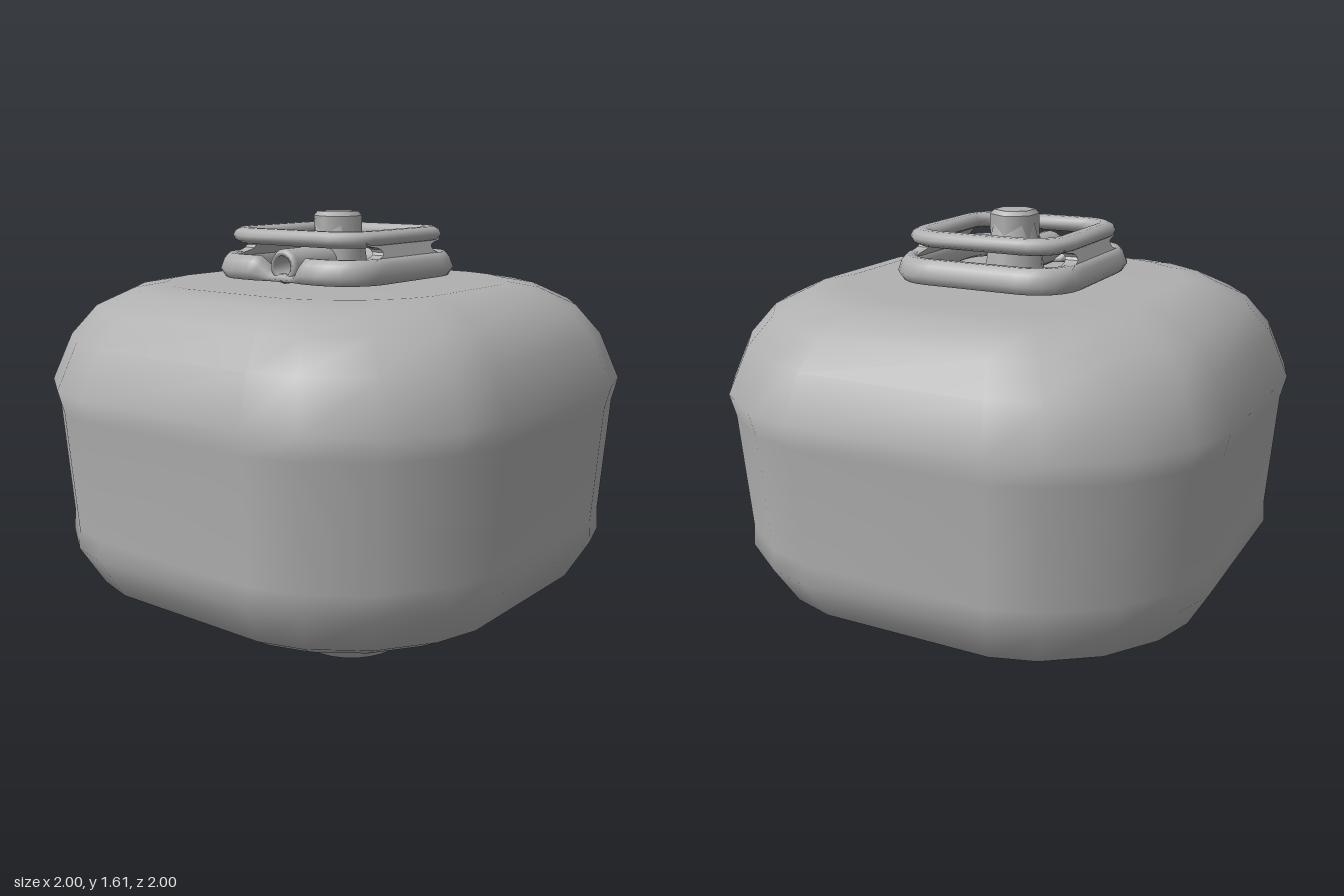
import * as THREE from 'three';

// Lofts a profile of [halfWidth, y] points around a rounded square.
// corner(w) lists corner points from (w, c) to (c, w); flats get n segments.
function loft(profile, corner, { closed = false, n = 1, bend } = {}) {
  const pos = [], idx = [];
  let count = 0;
  for (const [w, y] of profile) {
    const pts = corner(w);
    const c = pts[0][1];
    const quarter = [];
    for (let k = 0; k < n; k++) quarter.push([w, -c + (2 * c * k) / n]);
    quarter.push(...pts.slice(0, -1));
    count = quarter.length * 4;
    for (let q = 0; q < 4; q++) {
      for (let [a, b] of quarter) {
        for (let r = 0; r < q; r++) [a, b] = [-b, a];
        const v = new THREE.Vector3(a, y, -b);
        if (bend) bend(v, w);
        pos.push(v.x, v.y, v.z);
      }
    }
  }
  const rows = profile.length;
  for (let j = 0; j < (closed ? rows : rows - 1); j++) {
    const j2 = (j + 1) % rows;
    for (let i = 0; i < count; i++) {
      const i2 = (i + 1) % count;
      const a = j * count + i, b = j * count + i2, c = j2 * count + i2, d = j2 * count + i;
      idx.push(a, b, c, a, c, d);
    }
  }
  const g = new THREE.BufferGeometry();
  g.setAttribute('position', new THREE.Float32BufferAttribute(pos, 3));
  g.setIndex(idx);
  g.computeVertexNormals();
  return g;
}

// Circular corners around a fixed centre c
const roundCorner = (c, m = 6) => (w) =>
  Array.from({ length: m + 1 }, (_, k) => {
    const t = (k / m) * Math.PI / 2;
    return [c + (w - c) * Math.cos(t), c + (w - c) * Math.sin(t)];
  });

// Oval tube cross-section, counter-clockwise
const oval = (w, y, rw, ry, n = 10) =>
  Array.from({ length: n }, (_, k) => {
    const t = (k / n) * Math.PI * 2;
    return [w + rw * Math.cos(t), y + ry * Math.sin(t)];
  });

export function createModel() {
  const group = new THREE.Group();
  const metal = new THREE.MeshStandardMaterial({ color: 0xb0b0b0 });
  metal.name = 'grey metal';
  const add = (name, geometry, parent = group) => {
    const mesh = new THREE.Mesh(geometry, metal);
    mesh.name = name;
    parent.add(mesh);
    return mesh;
  };

  // Tank body: bulging rounded square with a slightly tapered waist
  const bodyCorner = (w) =>
    [[1, 0.385], [0.942, 0.575], [0.79, 0.79], [0.575, 0.942], [0.385, 1]].map(([a, b]) => [a * w, b * w]);
  add('tankBody', loft([
    [0, 0.08], [0.3, 0.083], [0.54, 0.1], [0.76, 0.145], [0.87, 0.21], [0.955, 0.36], [0.95, 0.44],
    [0.98, 0.89], [1, 0.975], [0.93, 1.15], [0.84, 1.26], [0.71, 1.325], [0.6, 1.345], [0, 1.345],
  ], bodyCorner));

  // Foot ring: low rail on the sides, rising to flared supports at the corners
  add('footRing', loft(
    [[0.39, 0.03], [0.41, 0.006], [0.45, 0], [0.48, 0.012], [0.51, 0.055], [0.545, 0.112], [0.49, 0.115], [0.42, 0.055]],
    roundCorner(0.29), {
      closed: true, n: 16,
      bend: (v, w) => {
        const s = THREE.MathUtils.smoothstep(Math.min(Math.abs(v.x), Math.abs(v.z)), 0.21, 0.28);
        const low = Math.min(v.y, 0.052);
        v.y = THREE.MathUtils.lerp(low, v.y, s);
        const k = THREE.MathUtils.lerp(Math.min(w, 0.49) / w, 1, s);
        if (Math.abs(v.x) > Math.abs(v.z)) v.x *= k;
        else v.z *= k;
      },
    }));

  // Collar: lower band with a notch at the outlet, and upper handle
  const collar = new THREE.Group();
  collar.name = 'collar';
  group.add(collar);
  add('lowerBand', loft(
    [[0.29, 1.375], [0.32, 1.362], [0.36, 1.364], [0.38, 1.395], [0.365, 1.435], [0.345, 1.457], [0.315, 1.455], [0.29, 1.42]],
    roundCorner(0.19), {
      closed: true, n: 16,
      bend: (v) => {
        if (v.x > -0.25) return;
        const s = 1 - THREE.MathUtils.smoothstep(Math.abs(v.z), 0.05, 0.12);
        v.y = 1.362 + (v.y - 1.362) * (1 - 0.7 * s);
        v.x += 0.025 * s;
      },
    }), collar);
  add('handleRing', loft(oval(0.292, 1.524, 0.045, 0.031), roundCorner(0.17), { closed: true }), collar);

  // Front and back webs joining band and handle, leaning inward
  const web = new THREE.Shape();
  web.moveTo(-0.24, 1.435);
  web.lineTo(0.24, 1.435);
  web.bezierCurveTo(0.24, 1.462, 0.16, 1.45, 0.16, 1.477);
  web.bezierCurveTo(0.16, 1.505, 0.24, 1.49, 0.24, 1.515);
  web.lineTo(-0.24, 1.515);
  web.bezierCurveTo(-0.24, 1.49, -0.16, 1.505, -0.16, 1.477);
  web.bezierCurveTo(-0.16, 1.45, -0.24, 1.462, -0.24, 1.435);
  const webGeo = new THREE.ExtrudeGeometry(web, { depth: 0.05, bevelEnabled: false, curveSegments: 6 });
  const p = webGeo.attributes.position;
  for (let i = 0; i < p.count; i++) p.setZ(i, p.getZ(i) + 0.305 - (p.getY(i) - 1.435) * 0.5);
  webGeo.computeVertexNormals();
  for (const [name, turn] of [['frontWeb', 0], ['backWeb', Math.PI]]) add(name, webGeo, collar).rotation.y = turn;

  // Valve: stem, hexagonal knob and side outlet
  const valve = new THREE.Group();
  valve.name = 'valve';
  group.add(valve);
  const stem = add('valveStem', new THREE.CylinderGeometry(0.105, 0.125, 0.16, 8), valve);
  stem.position.y = 1.42;
  const neck = add('valveNeck', new THREE.CylinderGeometry(0.085, 0.1, 0.06, 8), valve);
  neck.position.y = 1.53;
  const knob = add('valveKnob', new THREE.LatheGeometry(
    [[0, 1.5], [0.095, 1.5], [0.095, 1.5], [0.095, 1.595], [0.095, 1.595], [0.08, 1.612], [0.08, 1.612], [0, 1.612]]
      .map(([x, y]) => new THREE.Vector2(x, y)), 6), valve);
  knob.rotation.y = Math.PI / 2;
  const outlet = add('valveOutlet', new THREE.LatheGeometry(
    [[0.065, 0], [0.065, 0.32], [0.055, 0.335], [0.04, 0.335], [0.04, 0.25], [0, 0.25]]
      .map(([x, y]) => new THREE.Vector2(x, y)), 16), valve);
  outlet.rotation.z = Math.PI / 2;
  outlet.position.y = 1.42;

  return group;
}
